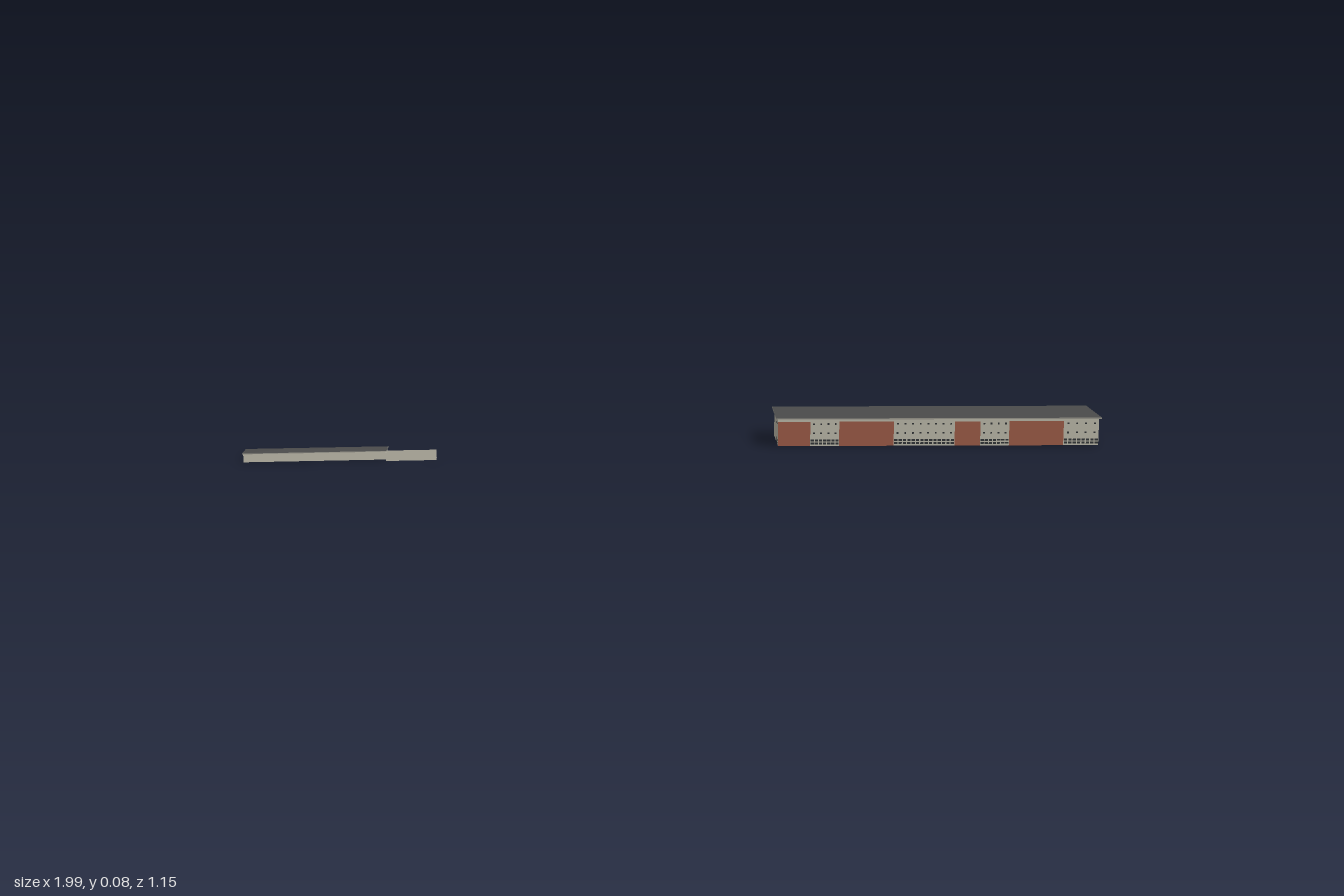
import * as THREE from 'three';
import { mergeGeometries } from 'three/addons/utils/BufferGeometryUtils.js';

const mat = (name, color, side = THREE.FrontSide) => {
  const m = new THREE.MeshStandardMaterial({ color, side });
  m.name = name;
  return m;
};

export function createModel() {
  const plaster = mat('pale plaster', 0xcac6b6, THREE.DoubleSide);
  const brick = mat('red cladding', 0xa8624c);
  const roofing = mat('dark roofing', 0x4b4b4b);
  const glass = mat('dark glass', 0x34383a);
  const trim = mat('roof trim', 0xa9a79c);

  const add = (parent, name, geo, material) => {
    const m = new THREE.Mesh(geo, material);
    m.name = name;
    parent.add(m);
    return m;
  };

  // Open ring of thin walls; front (+z) and back (-z) heights may differ
  const wallRing = (len, wid, hFront, hBack) => {
    const x = len / 2, z = wid / 2;
    const corners = [[-x, z, hFront], [x, z, hFront], [x, -z, hBack], [-x, -z, hBack]];
    const pos = [];
    corners.forEach(([ax, az, ah], i) => {
      const [bx, bz, bh] = corners[(i + 1) % 4];
      pos.push(ax, 0, az, bx, 0, bz, bx, bh, bz, ax, 0, az, bx, bh, bz, ax, ah, az);
    });
    const g = new THREE.BufferGeometry();
    g.setAttribute('position', new THREE.Float32BufferAttribute(pos, 3));
    g.computeVertexNormals();
    return g;
  };

  const model = new THREE.Group();
  model.name = 'buildings';

  // ---- Long hall: local +z is the front facade ----
  const L = 0.838, W = 0.152, HF = 0.071, HB = 0.075;
  const hall = new THREE.Group();
  hall.name = 'hall';
  hall.position.set(0.599, 0, 0.26);
  hall.rotation.y = -THREE.MathUtils.degToRad(35);
  model.add(hall);
  add(hall, 'hallWalls', wallRing(L, W, HF, HB), plaster);

  // Shallow single-pitch roof slab with pale edges
  const slab = add(hall, 'hallRoof', new THREE.BoxGeometry(0.849, 0.003, 0.165),
    [trim, trim, roofing, roofing, trim, trim]);
  slab.position.y = 0.0745;
  slab.rotation.x = 0.027;

  // Each face: a frame whose local x runs along the wall, seen from outside
  const face = (name, len, x, z, turn) => {
    const g = new THREE.Group();
    g.name = name;
    g.position.set(x, 0, z);
    g.rotation.y = turn;
    hall.add(g);
    return { g, len };
  };
  const plate = (f, u, y, w, h, lift) =>
    new THREE.PlaneGeometry(w, h).translate((u - 0.5) * f.len, y, lift);

  // Cladding bands given as start and end fractions along the wall
  const cladding = (f, bands, h) => add(f.g, 'claddingPanels', mergeGeometries(
    bands.map(([a, b]) => plate(f, (a + b) / 2, h / 2, (b - a) * f.len, h, 0.0008))), brick);

  // Rows of small windows over a stretch of wall, plus a dense ground row
  const windows = (f, from, to, rows, step) => {
    const parts = [];
    const n = Math.max(1, Math.round((to - from) * f.len / step));
    for (let i = 0; i < n; i++) {
      const u = from + (to - from) * (i + 0.5) / n;
      for (const y of rows) parts.push(plate(f, u, y, 0.005, 0.0045, 0.0016));
    }
    return parts;
  };
  const groundRow = (f, from, to) => {
    const parts = [];
    const n = Math.max(2, Math.round((to - from) * f.len / 0.0115));
    for (let i = 0; i < n; i++) {
      const u = from + (to - from) * (i + 0.5) / n;
      for (const y of [0.007, 0.015]) parts.push(plate(f, u, y, 0.0085, 0.005, 0.0016));
    }
    return parts;
  };

  const front = face('frontFacade', L, 0, W / 2, 0);
  const back = face('backFacade', L, 0, -W / 2, Math.PI);
  const facades = [
    { f: front, h: 0.064, bands: [[0, 0.1], [0.19, 0.36], [0.55, 0.63], [0.72, 0.89]],
      plain: [[0.1, 0.19], [0.36, 0.55], [0.63, 0.72], [0.89, 1]] },
    { f: back, h: 0.071, bands: [[0, 0.09], [0.27, 0.36], [0.455, 0.63], [0.72, 0.9]],
      plain: [[0.09, 0.27], [0.36, 0.455], [0.63, 0.72], [0.9, 1]] },
  ];
  for (const { f, h, bands, plain } of facades) {
    cladding(f, bands, h);
    const parts = [];
    for (const [a, b] of plain) parts.push(...windows(f, a, b, [0.058, 0.034], 0.021), ...groundRow(f, a, b));
    if (f === back) for (const [a, b] of bands) parts.push(...windows(f, a, b, [0.058, 0.034, 0.012], 0.021));
    add(f.g, 'windows', mergeGeometries(parts), glass);
  }

  // End walls: windows only on the part next to the front facade
  const leftEnd = face('leftEnd', W, L / 2, 0, Math.PI / 2);
  const rightEnd = face('rightEnd', W, -L / 2, 0, -Math.PI / 2);
  for (const [f, a, b] of [[leftEnd, 0.02, 0.37], [rightEnd, 0.58, 0.98]]) {
    add(f.g, 'endWindows', mergeGeometries(
      [...windows(f, a, b, [0.058, 0.034], 0.02), ...groundRow(f, a, b)]), glass);
  }

  // ---- Small shed with an open walled yard ----
  const shed = new THREE.Group();
  shed.name = 'shed';
  shed.position.set(-0.831, 0, -0.465);
  shed.rotation.y = -THREE.MathUtils.degToRad(30);
  model.add(shed);
  add(shed, 'shedWalls', wallRing(0.348, 0.057, 0.021, 0.021), plaster);

  const eave = add(shed, 'shedEave', new THREE.BoxGeometry(0.353, 0.002, 0.062),
    [trim, trim, roofing, roofing, trim, trim]);
  eave.position.y = 0.0215;

  // Low hipped top: pull the upper corners in to a ridge
  const hip = new THREE.BoxGeometry(0.353, 0.004, 0.062).toNonIndexed();
  const p = hip.attributes.position;
  for (let i = 0; i < p.count; i++) {
    if (p.getY(i) > 0) p.setXYZ(i, p.getX(i) * 0.42, p.getY(i), p.getZ(i) * 0.02);
  }
  hip.computeVertexNormals();
  add(shed, 'shedRoof', hip, roofing).position.y = 0.0245;

  const yard = add(shed, 'yardWalls', wallRing(0.124, 0.031, 0.0205, 0.0205), plaster);
  yard.position.set(0.1755 + 0.062, 0, 0.0325);

  return model;
}
